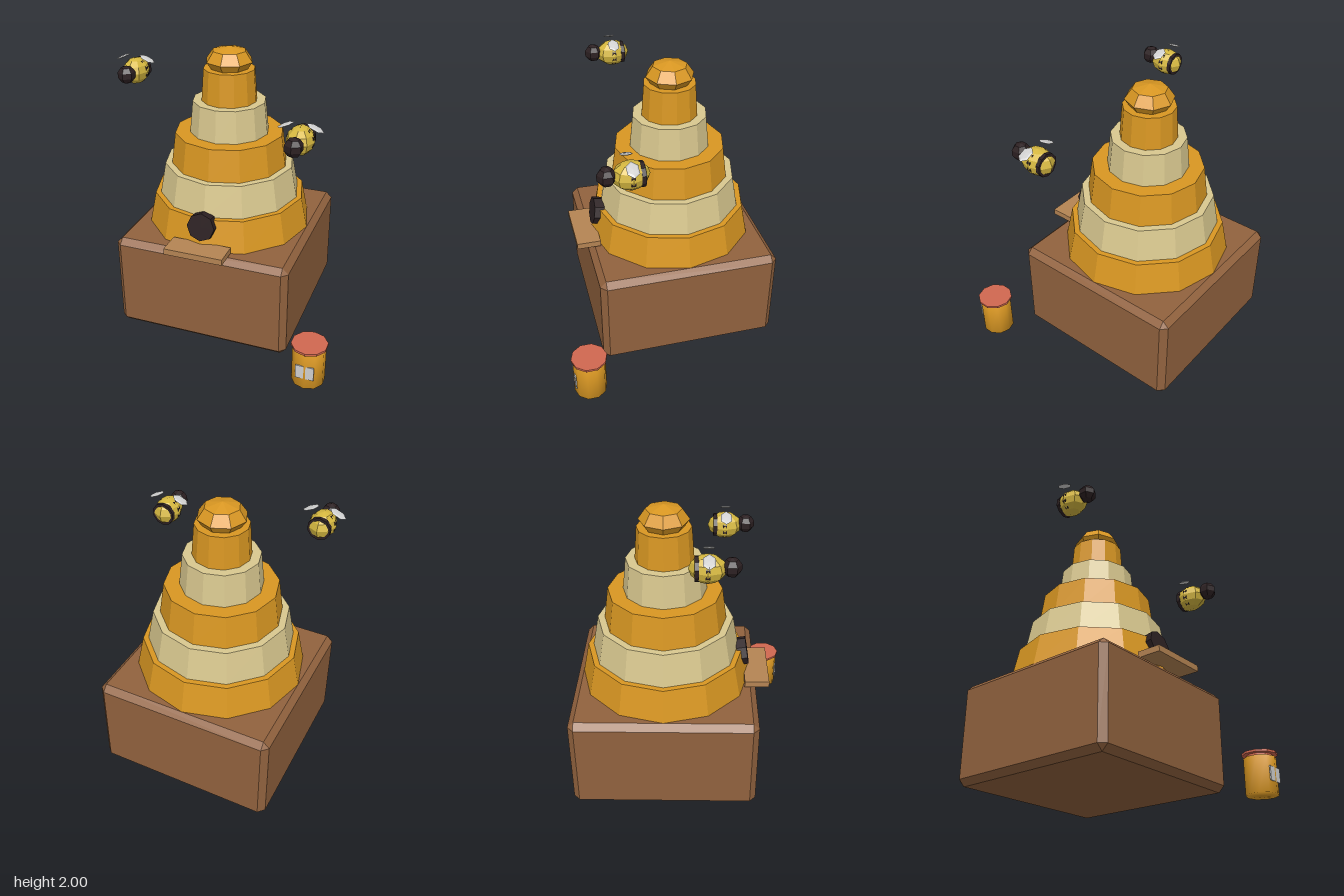
import * as THREE from 'three';
import { mergeVertices } from 'three/addons/utils/BufferGeometryUtils.js';
import { ConvexGeometry } from 'three/addons/geometries/ConvexGeometry.js';

const mat = (name, color, flatShading = true) => {
  const m = new THREE.MeshStandardMaterial({ color, flatShading });
  m.name = name;
  return m;
};

function add(parent, name, geometry, material, x, y, z) {
  const mesh = new THREE.Mesh(geometry, material);
  mesh.name = name;
  mesh.position.set(x, y, z);
  parent.add(mesh);
  return mesh;
}

// box with one flat chamfer on every edge
function chamferBox(w, h, d, c) {
  const pts = [];
  for (const sx of [-1, 1]) for (const sy of [-1, 1]) for (const sz of [-1, 1]) {
    for (let face = 0; face < 3; face++) {
      const inset = [c, c, c];
      inset[face] = 0;
      pts.push(new THREE.Vector3(
        sx * (w / 2 - inset[0]), sy * (h / 2 - inset[1]), sz * (d / 2 - inset[2])));
    }
  }
  return new ConvexGeometry(pts);
}

// cylinder whose shading flows smoothly over its rims
function softCylinder(r, h, sides) {
  const g = new THREE.CylinderGeometry(r, r, h, sides);
  g.deleteAttribute('normal');
  g.deleteAttribute('uv');
  const merged = mergeVertices(g);
  merged.computeVertexNormals();
  return merged;
}

export function createModel() {
  const amber = mat('amber', 0xd99722);
  const honey = mat('honey', 0xd99722, false);
  const cream = mat('cream', 0xd9c88f);
  const wood = mat('wood', 0x91623e);
  const plank = mat('plank', 0xb58453);
  const dark = mat('dark', 0x2c2022);
  const yellow = mat('yellow', 0xd6b840);
  const wingGrey = mat('wingGrey', 0xd0d0d0);
  const red = mat('red', 0xd06850);
  const paper = mat('paper', 0xd0d0d0);

  const model = new THREE.Group();
  model.name = 'beehive';
  const CX = -0.13, CZ = -0.135;

  // wooden base
  add(model, 'base', chamferBox(1.275, 0.706, 1.275, 0.042), wood, CX, 0.353, CZ);

  // stacked hive tiers: bottom radius, top radius
  const tierH = 0.2285;
  [[0.595, 0.548], [0.51, 0.468], [0.42, 0.389], [0.283, 0.26], [0.197, 0.181]].forEach(([rb, rt], i) => {
    add(model, 'tier' + (i + 1), new THREE.CylinderGeometry(rt, rb, tierH, 12),
      i === 1 || i === 3 ? cream : amber, CX, 0.706 + tierH * (i + 0.5), CZ);
  });
  add(model, 'topKnob', new THREE.SphereGeometry(0.168, 8, 4).scale(1, 0.6, 1), amber, CX, 1.899, CZ);

  // entrance and landing board
  const hole = add(model, 'entrance', new THREE.CylinderGeometry(0.1, 0.1, 0.07, 8), dark, CX, 0.884, 0.405);
  hole.rotation.x = Math.PI / 2 - 0.17;
  add(model, 'landingBoard', new THREE.BoxGeometry(0.425, 0.043, 0.17), plank, CX, 0.742, 0.505);

  // honey jar
  const jar = new THREE.Group();
  jar.name = 'honeyJar';
  jar.position.set(0.72, 0, 0.645);
  model.add(jar);
  add(jar, 'jarBody', softCylinder(0.113, 0.26, 10), honey, 0, 0.13, 0);
  add(jar, 'lidNeck', new THREE.CylinderGeometry(0.092, 0.092, 0.022, 10), red, 0, 0.27, 0);
  add(jar, 'lid', new THREE.CylinderGeometry(0.124, 0.124, 0.016, 10), red, 0, 0.287, 0);
  add(jar, 'label', new THREE.BoxGeometry(0.125, 0.1, 0.009), paper, 0, 0.13, 0.1065);

  // bees
  const bodyGeo = new THREE.SphereGeometry(0.088, 8, 6).scale(1, 1, 1.31);
  const headGeo = new THREE.SphereGeometry(0.061, 6, 5).rotateY(Math.PI / 2);
  const wingGeo = new THREE.SphereGeometry(1, 6, 4).scale(0.058, 0.008, 0.041);
  const stripe = r => new THREE.CylinderGeometry(r, r, 0.026, 10).rotateX(Math.PI / 2);
  function bee(name, x, y, z, s) {
    const g = new THREE.Group();
    g.name = name;
    g.position.set(x, y, z);
    g.scale.setScalar(s);
    add(g, 'body', bodyGeo, yellow, 0, 0, 0);
    add(g, 'head', headGeo, dark, 0, 0.011, 0.14);
    add(g, 'middleStripe', stripe(0.086), dark, 0, 0, 0);
    add(g, 'rearStripe', stripe(0.077), dark, 0, 0, -0.065);
    for (const side of [-1, 1]) {
      const wing = add(g, side > 0 ? 'leftWing' : 'rightWing', wingGeo, wingGrey, side * 0.089, 0.089, 0.006);
      wing.rotation.z = -side * 0.42;
    }
    model.add(g);
  }
  bee('highBee', -0.7, 1.848, 0.14, 1);
  bee('lowBee', 0.505, 1.565, 0.282, 1.08);

  return model;
}
